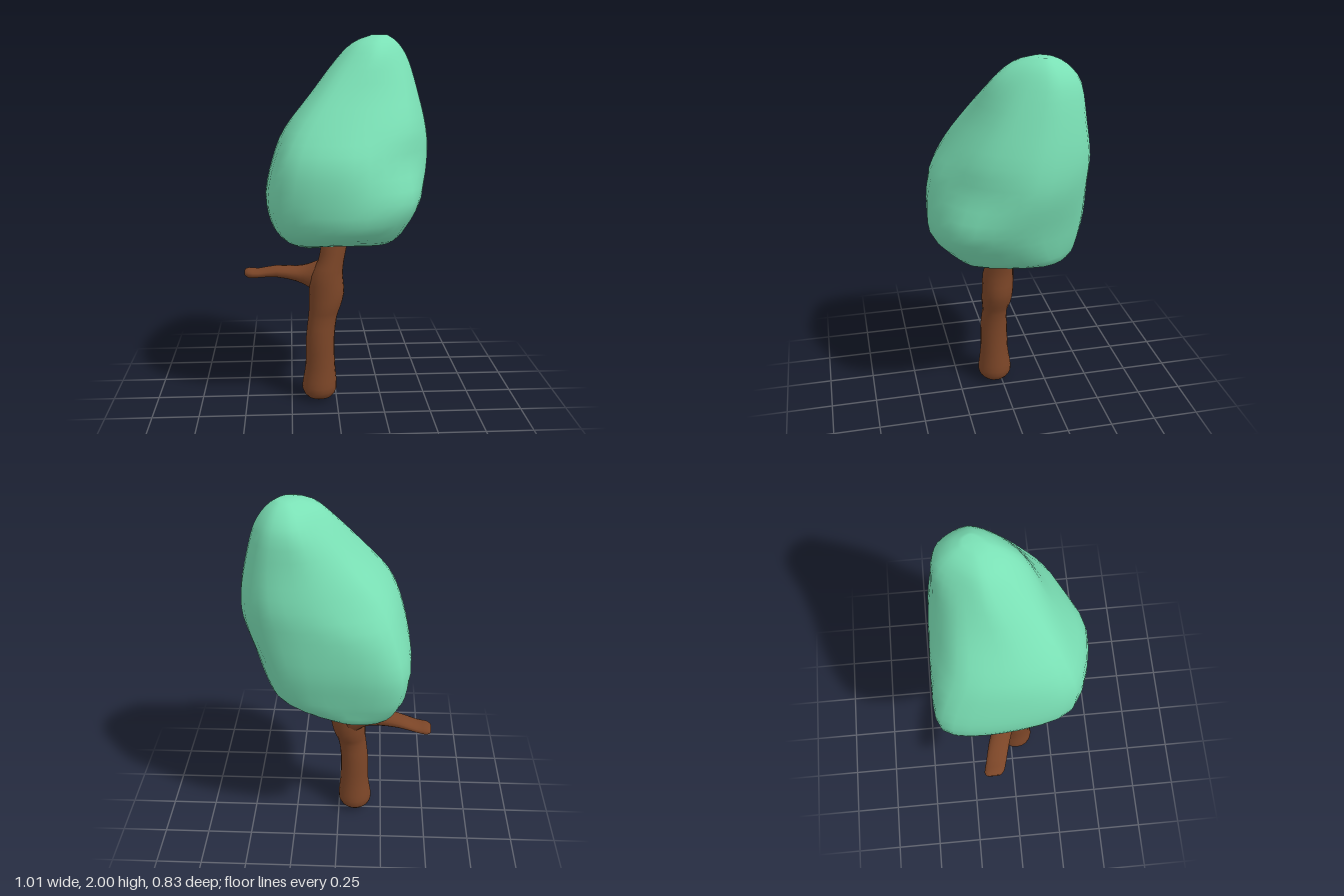
import * as THREE from 'three';

// Closed skin over a list of rings (arrays of Vector3), capped at both ends
function loft(rings) {
  const n = rings[0].length, pos = [], idx = [];
  rings.forEach(r => r.forEach(p => pos.push(p.x, p.y, p.z)));
  for (let i = 0; i < rings.length - 1; i++) {
    for (let j = 0; j < n; j++) {
      const a = i * n + j, b = i * n + (j + 1) % n;
      idx.push(a, a + n, b, b, a + n, b + n);
    }
  }
  [0, rings.length - 1].forEach((e, side) => {
    const c = rings[e].reduce((s, p) => s.add(p), new THREE.Vector3()).divideScalar(n);
    const m = pos.length / 3;
    pos.push(c.x, c.y, c.z);
    for (let j = 0; j < n; j++) {
      const a = e * n + j, b = e * n + (j + 1) % n;
      if (side) idx.push(a, m, b);
      else idx.push(a, b, m);
    }
  });
  const g = new THREE.BufferGeometry();
  g.setAttribute('position', new THREE.Float32BufferAttribute(pos, 3));
  g.setIndex(idx);
  g.computeVertexNormals();
  return g;
}

// Smoothly interpolated copies of the rows of a table
function refine(rows, steps) {
  const out = [], last = rows.length - 1;
  const at = i => rows[Math.max(0, Math.min(last, i))];
  for (let i = 0; i < last; i++) {
    for (let s = 0; s < steps; s++) {
      const t = s / steps;
      out.push(rows[i].map((v, k) => {
        const a = at(i - 1)[k], b = at(i + 1)[k], c = at(i + 2)[k];
        return v + 0.5 * t * (b - a + t * (2 * a - 5 * v + 4 * b - c + t * (3 * (v - b) + c - a)));
      }));
    }
  }
  out.push(rows[last]);
  return out;
}

// Canopy levels: y, then x, z of right, front right, front, front left,
// left, back left, back and back right as seen from the front
const CANOPY = [
  [0.86, 0.13, -0.18, 0.07, -0.06, -0.05, -0.04, -0.17, -0.04, -0.24, -0.16, -0.24, -0.31, -0.08, -0.345, 0.08, -0.28],
  [0.93, 0.32, -0.14, 0.25, 0.19, 0.03, 0.21, -0.22, 0.19, -0.31, -0.08, -0.29, -0.345, -0.05, -0.365, 0.20, -0.31],
  [1.02, 0.39, -0.08, 0.32, 0.26, 0.05, 0.385, -0.27, 0.28, -0.36, -0.06, -0.32, -0.37, -0.02, -0.38, 0.26, -0.32],
  [1.17, 0.45, -0.02, 0.375, 0.30, 0.06, 0.42, -0.30, 0.305, -0.38, -0.05, -0.33, -0.375, -0.04, -0.405, 0.30, -0.335],
  [1.36, 0.495, -0.04, 0.355, 0.24, 0.07, 0.395, -0.27, 0.31, -0.34, -0.02, -0.28, -0.33, -0.03, -0.40, 0.35, -0.335],
  [1.52, 0.49, -0.07, 0.36, 0.20, 0.08, 0.305, -0.20, 0.26, -0.275, 0.02, -0.21, -0.27, 0.08, -0.375, 0.37, -0.34],
  [1.70, 0.45, -0.12, 0.36, 0.09, 0.13, 0.195, -0.07, 0.165, -0.135, -0.02, -0.06, -0.24, 0.15, -0.345, 0.36, -0.32],
  [1.87, 0.40, -0.15, 0.33, 0.0, 0.19, 0.105, 0.05, 0.05, 0.0, -0.09, 0.07, -0.22, 0.19, -0.325, 0.33, -0.295],
];

// A level shrunk towards a centre, for rounding off the top and bottom
function shrink(row, y, k, cx, cz) {
  return row.map((v, i) => i === 0 ? y : THREE.MathUtils.lerp(i % 2 ? cx : cz, v, k));
}

function canopyRing(row) {
  const corners = [];
  for (let i = 1; i < row.length; i += 2) corners.push(new THREE.Vector3(row[i], row[0], row[i + 1]));
  return new THREE.CatmullRomCurve3(corners, true, 'catmullrom', 0.45).getPoints(32).slice(0, 32);
}

// Trunk levels: y, centre x, centre z, radius x, radius z
const TRUNK = [
  [0.004, -0.095, 0.035, 0.03, 0.03],
  [0.02, -0.095, 0.035, 0.07, 0.07],
  [0.06, -0.095, 0.035, 0.095, 0.096],
  [0.12, -0.093, 0.036, 0.093, 0.092],
  [0.21, -0.09, 0.038, 0.082, 0.081],
  [0.36, -0.09, 0.04, 0.079, 0.078],
  [0.48, -0.077, 0.037, 0.079, 0.07],
  [0.54, -0.064, 0.03, 0.087, 0.083],
  [0.62, -0.053, 0.024, 0.097, 0.088],
  [0.72, -0.052, 0.022, 0.088, 0.086],
  [0.80, -0.028, 0.018, 0.071, 0.075],
  [0.88, -0.012, 0.012, 0.071, 0.068],
  [0.94, 0.0, 0.007, 0.067, 0.063],
];

// Branch stations: x, centre y, centre z, radius y, radius z
const BRANCH = [
  [-0.04, 0.68, 0.01, 0.13, 0.075],
  [-0.10, 0.69, -0.005, 0.105, 0.074],
  [-0.15, 0.703, -0.025, 0.066, 0.068],
  [-0.22, 0.708, -0.05, 0.042, 0.061],
  [-0.33, 0.712, -0.085, 0.031, 0.059],
  [-0.43, 0.696, -0.11, 0.024, 0.057],
  [-0.485, 0.694, -0.125, 0.027, 0.055],
  [-0.508, 0.696, -0.13, 0.014, 0.037],
];

function ellipse(n, place) {
  return Array.from({ length: n }, (_, j) => {
    const t = j / n * Math.PI * 2;
    return place(Math.cos(t), Math.sin(t));
  });
}

export function createModel() {
  const model = new THREE.Group();
  const leaf = new THREE.MeshStandardMaterial({ color: 0x7ae0b5 });
  const bark = new THREE.MeshStandardMaterial({ color: 0x7b4527 });
  const add = (name, geometry, material) => {
    const mesh = new THREE.Mesh(geometry, material);
    mesh.name = name;
    model.add(mesh);
  };

  // Leaning leafy crown
  const low = CANOPY[0], high = CANOPY[CANOPY.length - 1];
  const levels = [
    shrink(low, 0.828, 0.4, -0.15, -0.2),
    ...CANOPY,
    shrink(high, 1.96, 0.62, 0.245, -0.14),
    shrink(high, 2, 0.22, 0.25, -0.14),
  ];
  add('canopy', loft(refine(levels, 3).map(canopyRing)), leaf);

  // Knotted trunk
  add('trunk', loft(refine(TRUNK, 2).map(([y, x, z, rx, rz]) =>
    ellipse(18, (c, s) => new THREE.Vector3(x + rx * c, y, z + rz * s)))), bark);

  // Flattened side branch
  add('branch', loft(refine(BRANCH, 2).map(([x, y, z, ry, rz]) =>
    ellipse(16, (c, s) => new THREE.Vector3(x, y + ry * c, z + rz * s)))), bark);

  return model;
}
